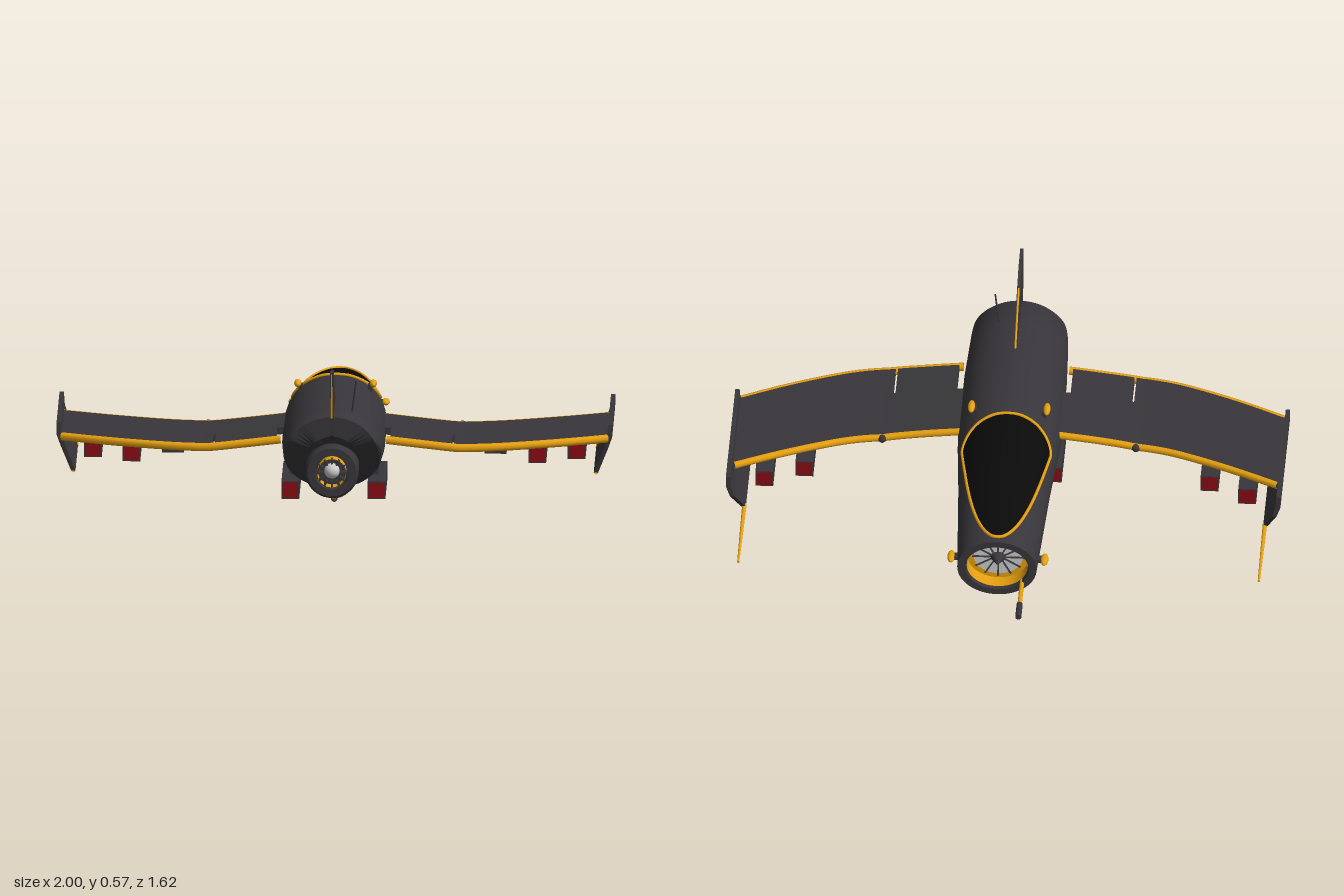
import * as THREE from 'three';
import { toCreasedNormals } from 'three/addons/utils/BufferGeometryUtils.js';

const mat = (color) => new THREE.MeshStandardMaterial({ color, side: THREE.DoubleSide });
const DARK = mat(0x38363a), GOLD = mat(0xe6a010), RED = mat(0x8a0c14), BLACK = mat(0x0a0a0a), PALE = mat(0xcccccc);
const V = (x, y, z) => new THREE.Vector3(x, y, z);

function add(parent, name, geo, material, pos = [0, 0, 0], rot = [0, 0, 0]) {
  const m = new THREE.Mesh(geo, material);
  m.name = name;
  m.position.set(...pos);
  m.rotation.set(...rot);
  parent.add(m);
  return m;
}
const box = (w, h, d) => new THREE.BoxGeometry(w, h, d);
const tube = (pts, r, n = 40, closed = false) =>
  new THREE.TubeGeometry(new THREE.CatmullRomCurve3(pts, closed), n, r, 8, closed);
// Round bar lying along z between z0 and z1
function bar(parent, name, material, x, y, z0, z1, r0, r1 = r0, open = false) {
  return add(parent, name, new THREE.CylinderGeometry(r1, r0, z1 - z0, 24, 1, open), material,
    [x, y, (z0 + z1) / 2], [Math.PI / 2, 0, 0]);
}
// Skin over rows of points
function loft(rows, closed, crease = 0.6) {
  const n = rows[0].length, idx = [];
  for (let i = 0; i < rows.length - 1; i++)
    for (let j = 0; j < (closed ? n : n - 1); j++) {
      const a = i * n + j, b = i * n + (j + 1) % n;
      idx.push(a, b, b + n, a, b + n, a + n);
    }
  const g = new THREE.BufferGeometry().setFromPoints(rows.flat());
  g.setIndex(idx);
  return toCreasedNormals(g, crease);
}
// Piecewise linear lookup
function lerpTable(t, x) {
  for (let i = 1; i < t.length; i++)
    if (x <= t[i][0] || i === t.length - 1) {
      const k = THREE.MathUtils.clamp((x - t[i - 1][0]) / (t[i][0] - t[i - 1][0]), 0, 1);
      return t[i - 1][1] + k * (t[i][1] - t[i - 1][1]);
    }
}

// Fuselage section rules
const halfWidth = [[-0.61, 0.143], [-0.2, 0.165], [0.03, 0.182], [0.1, 0.185], [0.45, 0.185], [0.735, 0.176]];
const topLine = [[-0.61, 0.30], [0.03, 0.41], [0.735, 0.41]];
const bottomLine = [[-0.61, 0.07], [0.45, 0.09], [0.735, 0.09]];
function bodyPoint(z, a, k = 1, grow = 0) {
  const t = lerpTable(topLine, z), b = lerpTable(bottomLine, z);
  return V((lerpTable(halfWidth, z) * k + grow) * Math.cos(a), (t + b) / 2 + ((t - b) / 2 * k + grow) * Math.sin(a), z);
}

function fuselage(g) {
  const N = 56, ring = (f) => Array.from({ length: N }, (_, j) => f(j / N * Math.PI * 2));
  const rows = [ring((a) => bodyPoint(-0.61, a, 0.78).setZ(-0.48)), ring((a) => bodyPoint(-0.61, a, 0.8))];
  for (const z of [-0.61, -0.4, -0.2, -0.03, 0.03, 0.1, 0.45]) rows.push(ring((a) => bodyPoint(z, a)));
  // Slanted cut under the tail
  for (const [t, k] of [[0.5, 1], [0.95, 1], [1, 0.95], [1, 0.5], [1, 0]])
    rows.push(ring((a) => {
      const p = bodyPoint(0.45 + 0.285 * t, a, k);
      const end = 0.735 - Math.max(0, 0.31 - p.y) * 1.1;
      return p.setZ(0.45 + (end - 0.45) * t);
    }));
  add(g, 'fuselage', loft(rows, true), DARK);

  // Canopy glass and its rim
  const glass = [], left = [], right = [];
  for (let i = 0; i <= 40; i++) {
    const z = -0.583 + 0.61 * i / 40;
    const t = lerpTable(topLine, z), b = lerpTable(bottomLine, z);
    const edge = 0.304 + 0.106 * Math.pow(Math.max(0, z + 0.08) / 0.11, 1.6);
    const a0 = Math.asin(Math.min(1, (edge - (t + b) / 2) / ((t - b) / 2)));
    const row = Array.from({ length: 25 }, (_, j) => bodyPoint(z, a0 + (Math.PI - 2 * a0) * j / 24, 1, 0.003));
    glass.push(row);
    right.push(row[0]);
    left.push(row[24]);
  }
  add(g, 'canopy', loft(glass, false), BLACK);
  add(g, 'canopyRim', tube([...right, ...left.reverse()], 0.006, 160, true), GOLD);

  // Nose intake
  const rim = add(g, 'intakeRing', new THREE.CylinderGeometry(0.1, 0.1, 0.06, 40, 1, true), GOLD, [0, 0.185, -0.565], [Math.PI / 2, 0, 0]);
  rim.scale.set(1.1, 1, 0.9);
  const fan = new THREE.Group();
  fan.name = 'intakeFan';
  fan.position.set(0, 0.185, -0.54);
  fan.scale.set(1.1, 0.9, 1);
  g.add(fan);
  add(fan, 'fanDisc', new THREE.CircleGeometry(0.102, 40), PALE, [0, 0, 0.01]);
  add(fan, 'fanLip', new THREE.RingGeometry(0.08, 0.104, 40), GOLD);
  for (let i = 0; i < 12; i++) {
    const a = i / 12 * Math.PI * 2;
    add(fan, 'fanBlade', box(0.06, 0.005, 0.012), DARK, [0.055 * Math.cos(a), 0.055 * Math.sin(a), 0], [0.5, 0, a]);
  }
  add(fan, 'spinner', new THREE.ConeGeometry(0.025, 0.05, 20), DARK, [0, 0, -0.025], [-Math.PI / 2, 0, 0]);

  // Exhaust nozzle
  const profile = [[0.092, -0.25], [0.096, -0.1], [0.096, 0], [0.088, 0.012], [0.062, 0.012], [0.06, -0.05]];
  add(g, 'exhaustNozzle', toCreasedNormals(new THREE.LatheGeometry(profile.map((p) => new THREE.Vector2(...p)), 40), 0.5),
    DARK, [0, 0.205, 0.755], [Math.PI / 2, 0, 0]);
  bar(g, 'exhaustRing', GOLD, 0, 0.205, 0.69, 0.78, 0.052, 0.052, true);
  add(g, 'exhaustBack', new THREE.CircleGeometry(0.062, 32), DARK, [0, 0.205, 0.725]);
  add(g, 'exhaustCore', new THREE.SphereGeometry(0.028, 20, 14), PALE, [0, 0.205, 0.735]);
  for (let i = 0; i < 12; i++) {
    const a = i / 12 * Math.PI * 2;
    add(g, 'exhaustVane', box(0.02, 0.007, 0.03), DARK, [0.042 * Math.cos(a), 0.205 + 0.042 * Math.sin(a), 0.765], [0, 0, a]);
  }

  // Tail fin
  const fin = new THREE.Shape([[0.42, 0.40], [0.55, 0.485], [0.63, 0.53], [0.71, 0.57], [0.81, 0.58], [0.79, 0.40],
    [0.785, 0.345], [0.755, 0.33], [0.7, 0.36]].map((p) => new THREE.Vector2(...p)));
  add(g, 'tailFin', new THREE.ExtrudeGeometry(fin, { depth: 0.012, bevelEnabled: false }), DARK, [0.006, 0, 0], [0, -Math.PI / 2, 0]);
  add(g, 'finTrailingEdge', tube([V(0, 0.41, 0.788), V(0, 0.575, 0.805)], 0.005, 2), GOLD);
  add(g, 'finLeadingEdge', tube([V(0, 0.405, 0.43), V(0, 0.485, 0.553), V(0, 0.53, 0.633)], 0.004, 12), GOLD);
  add(g, 'antenna', tube([V(0.068, 0.38, 0.61), V(0.084, 0.51, 0.62)], 0.003, 2), DARK);

  // Air probe beside the nose
  bar(g, 'probe', GOLD, -0.09, 0.12, -0.74, -0.58, 0.008);
  bar(g, 'probeTip', DARK, -0.09, 0.12, -0.815, -0.735, 0.011);

  // Belly turret and forward blister
  const ball = add(g, 'bellyTurret', new THREE.SphereGeometry(0.07, 28, 18), DARK, [0, 0.085, 0.3]);
  ball.scale.set(1, 1, 1.1);
  add(g, 'turretBand', new THREE.TorusGeometry(0.07, 0.008, 8, 32), GOLD, [0, 0.085, 0.3], [0, Math.PI / 2, 0]);
  bar(g, 'turretGun', DARK, 0, 0.018, 0.25, 0.33, 0.012);
  const blister = add(g, 'bellyBlister', new THREE.SphereGeometry(0.05, 20, 12), GOLD, [0, 0.077, -0.39]);
  blister.scale.set(0.6, 0.3, 1.9);
  add(g, 'blisterPanel', box(0.025, 0.006, 0.09), DARK, [0, 0.062, -0.39]);
}

// Wing planform and droop
const curve = (pts) => new THREE.SplineCurve(pts.map((p) => new THREE.Vector2(...p))).getPoints(40).map((p) => [p.x, p.y]);
const lead = curve([[0.15, 0.10], [0.32, 0.10], [0.46, 0.09], [0.6, 0.06], [0.8, -0.02], [0.985, -0.11]]);
const trail = curve([[0.15, 0.50], [0.32, 0.50], [0.46, 0.495], [0.6, 0.465], [0.8, 0.385], [0.99, 0.29]]);
const droop = [[0.15, 0.275], [0.45, 0.24], [0.99, 0.235]];
function wingPoint(x, f, dy = 0) {
  const a = lerpTable(lead, x), b = lerpTable(trail, x);
  return V(x, lerpTable(droop, x) + dy, a + (b - a) * f);
}
function wingPanel(x0, x1, f0, f1) {
  const g = box(1, 0.026, 1).copy(new THREE.BoxGeometry(1, 0.026, 1, 24, 1, 4)), p = g.attributes.position;
  for (let i = 0; i < p.count; i++) {
    const q = wingPoint(x0 + (p.getX(i) + 0.5) * (x1 - x0), f0 + (p.getZ(i) + 0.5) * (f1 - f0), p.getY(i));
    p.setXYZ(i, q.x, q.y, q.z);
  }
  return toCreasedNormals(g, 0.6);
}
function pod(parent, x, y, z0, length) {
  add(parent, 'weaponPod', box(0.064, 0.064, length), DARK, [x, y, z0 + length / 2]);
  for (const z of [z0 + 0.006, z0 + length - 0.006]) add(parent, 'podEnd', box(0.056, 0.056, 0.014), RED, [x, y, z]);
}

function wingSide(g) {
  add(g, 'wing', wingPanel(0.15, 0.99, 0, 0.62), DARK);
  add(g, 'innerFlap', wingPanel(0.205, 0.426, 0.62, 1), DARK);
  add(g, 'outerFlap', wingPanel(0.434, 0.99, 0.62, 1), DARK);
  const xs = Array.from({ length: 18 }, (_, i) => 0.17 + 0.81 * i / 17);
  add(g, 'leadingEdge', tube(xs.map((x) => wingPoint(x, 0)), 0.014), GOLD);
  add(g, 'trailingEdge', tube(xs.map((x) => wingPoint(Math.max(x, 0.19), 1, x * 0.0001)), 0.015), GOLD);
  add(g, 'edgeLight', new THREE.SphereGeometry(0.015, 14, 10), DARK, wingPoint(0.457, -0.02).toArray());

  // Bent winglet
  const row = (y, x, z0, z1, t) => [V(x + t, y, z1), V(x + t, y, z0), V(x - t, y, z0), V(x - t, y, z1)];
  add(g, 'winglet', loft([row(0.105, 0.94, -0.18, 0.27, 0), row(0.105, 0.94, -0.18, 0.27, 0.008),
    row(0.2, 0.977, -0.25, 0.29, 0.008), row(0.24, 0.99, -0.25, 0.295, 0.009), row(0.285, 0.992, -0.25, 0.29, 0.008),
    row(0.285, 0.992, -0.25, 0.29, 0)], true, 0.3), DARK);
  add(g, 'wingletEdge', tube([V(0.94, 0.105, -0.18), V(0.94, 0.105, 0.27)], 0.007, 2), GOLD);
  bar(g, 'wingtipProbe', GOLD, 0.938, 0.105, -0.52, -0.17, 0.004, 0.008);

  // Pods under wing and belly
  pod(g, 0.73, 0.182, -0.04, 0.36);
  pod(g, 0.87, 0.182, -0.11, 0.36);
  pod(g, 0.155, 0.08, 0.12, 0.36);
  add(g, 'podPylon', box(0.03, 0.06, 0.2), DARK, [0.145, 0.13, 0.25]);

  // Framed vent under the wing
  for (const s of [-1, 1]) {
    add(g, 'ventSide', box(0.016, 0.04, 0.17), DARK, [0.58 + s * 0.032, 0.208, 0.25]);
    add(g, 'ventEnd', box(0.08, 0.04, 0.016), DARK, [0.58, 0.208, 0.25 + s * 0.085]);
  }
  add(g, 'ventPanel', box(0.055, 0.02, 0.16), GOLD, [0.58, 0.213, 0.25]);

  // Running lights on the fuselage
  const light = new THREE.SphereGeometry(0.013, 16, 12);
  add(g, 'shoulderLight', light, GOLD, [0.136, 0.392, 0.09]).scale.set(1, 1, 2.7);
  add(g, 'noseLight', light, GOLD, [0.168, 0.19, -0.553]).scale.set(1.1, 0.9, 2.7);
  add(g, 'shoulderLightStem', box(0.016, 0.05, 0.03), DARK, [0.125, 0.365, 0.09]);
  add(g, 'noseLightStem', box(0.03, 0.012, 0.03), DARK, [0.15, 0.19, -0.553]);
}

export function createModel() {
  const model = new THREE.Group();
  model.name = 'aircraft';
  const body = new THREE.Group();
  body.name = 'body';
  fuselage(body);
  model.add(body);
  for (const s of [1, -1]) {
    const side = new THREE.Group();
    side.name = s > 0 ? 'leftSide' : 'rightSide';
    wingSide(side);
    side.scale.x = s;
    model.add(side);
  }
  return model;
}
